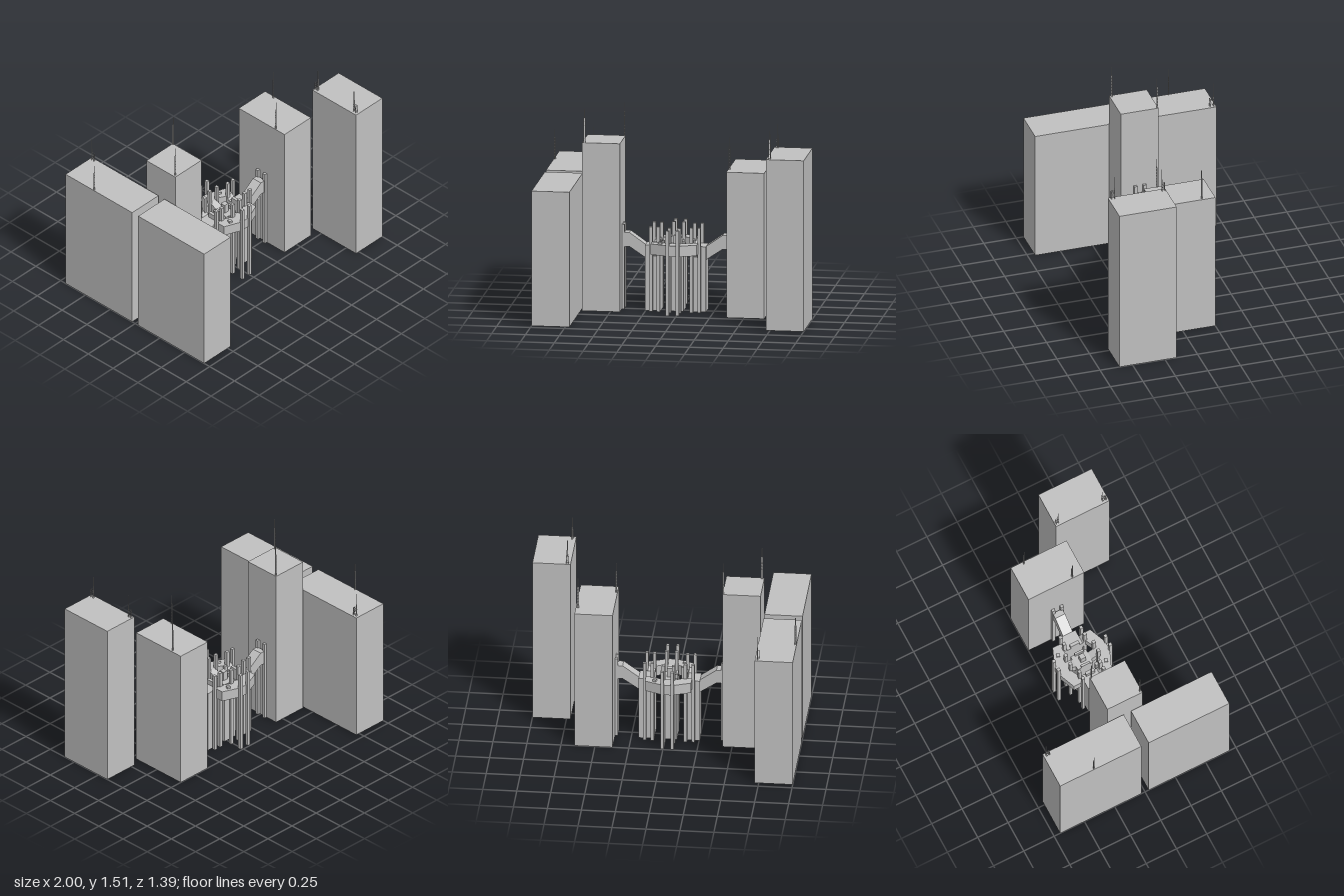
import * as THREE from 'three';

const concrete = new THREE.MeshStandardMaterial({ color: 0xc0c0c0 });
concrete.name = 'concrete grey';

// Plan centre of the walkway station
const CX = -0.03, CZ = -0.015;

export function createModel() {
  const root = new THREE.Group();
  root.name = 'towerBlock';

  const add = (geo, name, parent = root) => {
    const m = new THREE.Mesh(geo, concrete);
    m.name = name;
    parent.add(m);
    return m;
  };
  // Box given by its limits on each axis
  const box = (name, x0, x1, y0, y1, z0, z1, parent = root) => {
    const m = add(new THREE.BoxGeometry(x1 - x0, y1 - y0, z1 - z0), name, parent);
    m.position.set((x0 + x1) / 2, (y0 + y1) / 2, (z0 + z1) / 2);
    return m;
  };
  const prism = (pts, depth) => new THREE.ExtrudeGeometry(
    new THREE.Shape(pts.map(p => new THREE.Vector2(p[0], p[1]))),
    { depth, bevelEnabled: false });
  // Thin strut between two points
  const strut = (a, b, t, parent) => {
    const A = new THREE.Vector3(...a), B = new THREE.Vector3(...b);
    const m = add(new THREE.BoxGeometry(t, t, A.distanceTo(B)), 'strut', parent);
    m.position.copy(A).add(B).multiplyScalar(0.5);
    m.lookAt(B);
  };

  // Tower blocks: x0, x1, height, z0, z1
  [
    [-1, -0.72, 1.01, -0.70, -0.03],
    [-1, -0.72, 1.01, 0.03, 0.695],
    [-0.71, -0.43, 1.26, -0.16, 0.13],
    [0.37, 0.65, 1.09, -0.25, 0.21],
    [0.72, 1, 1.28, 0.16, 0.60],
  ].forEach(([x0, x1, h, z0, z1]) => box('tower', x0, x1, 0, h, z0, z1));

  // Slim lattice masts: x, z, roof height, tip height
  const mast = (x, z, y, tip) => {
    const g = new THREE.Group();
    g.name = 'slimMast';
    root.add(g);
    const h = tip - y, w = 0.005, mid = y + h * 0.72;
    strut([x, y, z], [x, tip, z], 0.004, g);
    strut([x + w, y, z - w], [x + w, mid, z - w], 0.003, g);
    strut([x - w, y, z - w], [x - w, mid, z - w], 0.003, g);
    for (let i = 1; i <= 7; i++) {
      const r = y + (mid - y) * i / 7;
      strut([x - w, r, z - w], [x + w, r, z - w], 0.002, g);
      strut([x, r, z], [x + w, r, z - w], 0.002, g);
    }
  };
  mast(-0.435, -0.148, 1.26, 1.51);
  mast(-0.693, 0.118, 1.26, 1.51);
  mast(0.634, -0.148, 1.09, 1.33);
  mast(0.379, 0.118, 1.09, 1.33);
  mast(-0.992, -0.415, 1.01, 1.23);

  // Masts with a braced frame at the foot
  const framedMast = (x, z, dz, y, tip) => {
    const g = new THREE.Group();
    g.name = 'framedMast';
    root.add(g);
    const z2 = z + dz, top = y + 0.065;
    strut([x, y, z], [x, tip, z], 0.004, g);
    strut([x + 0.006, y, z], [x + 0.006, y + 0.1, z], 0.003, g);
    for (const px of [x - 0.008, x + 0.006]) {
      strut([px, y, z2], [px, top, z2], 0.003, g);
      strut([px, top, z], [px, top, z2], 0.002, g);
      strut([px, y + 0.05, z], [px, y + 0.05, z2], 0.002, g);
      strut([px, y, z], [px, y + 0.05, z2], 0.002, g);
    }
    strut([x - 0.008, top, z2], [x + 0.006, top, z2], 0.002, g);
  };
  framedMast(0.745, 0.555, 0.026, 1.28, 1.46);
  framedMast(0.745, 0.192, -0.022, 1.28, 1.46);
  framedMast(-0.742, -0.682, 0.027, 1.01, 1.20);

  // Three lift shafts
  for (const x of [-0.1975, CX, 0.1375])
    box('shaft', x - 0.0575, x + 0.0575, 0, 0.49, -0.08, 0.047);

  // Front and back walkway arcs
  const arc = [[0.17, 0.155], [0.035, 0.21], [-0.035, 0.21], [-0.17, 0.155], [-0.17, 0.085],
    [-0.11, 0.085], [-0.05, 0.115], [0.05, 0.115], [0.11, 0.085], [0.17, 0.085]];
  for (const s of [1, -1]) {
    const geo = prism(arc.map(([x, z]) => [CX + x, -(CZ + s * z)]), 0.08);
    geo.rotateX(-Math.PI / 2);
    add(geo, 'walkwayArc').position.y = 0.44;

    // Sloping links from each arc to the shafts
    [[-0.14, 0.06, 0.085], [0.14, 0.06, 0.085], [0, 0.06, 0.115]].forEach(([x, w, z]) => {
      const link = prism([[CZ + s * z, 0.44], [CZ + s * z, 0.52],
        [CZ + s * 0.062, 0.49], [CZ + s * 0.062, 0.41]], w);
      link.rotateY(-Math.PI / 2);
      add(link, 'walkwayLink').position.x = CX + x + w / 2;
    });

    // Side bridge rising to the neighbouring tower
    const bridge = [[0.225, 0.39], [0.225, 0.49], [0.345, 0.575], [0.39, 0.575],
      [0.39, 0.47], [0.345, 0.47]].map(([x, y]) => [CX + s * x, y]);
    add(prism(bridge, 0.08), 'sideBridge').position.z = -0.056;

    // Small unit turned to follow the arc
    const unit = box('roofUnit', -0.013, 0.013, 0.52, 0.536, -0.013, 0.013);
    unit.position.x = CX - s * 0.098;
    unit.position.z = CZ + s * 0.147;
    unit.rotation.y = -0.35;

    // Low cabinets on the shafts
    box('cabinet', CX + s * 0.122 - 0.012, CX + s * 0.122 + 0.012, 0.49, 0.53, -0.05, 0.022);
    box('parapet', CX + s * 0.052 - 0.008, CX + s * 0.052 + 0.008, 0.49, 0.52, -0.05, 0.022);
  }
  box('centreHousing', -0.05, -0.01, 0.49, 0.56, -0.035, 0.005);
  box('sideUnit', -0.132, -0.108, 0.44, 0.53, 0.045, 0.067);

  // Tall pillars, mirrored in x and z about the station centre
  const P = 0.012;
  [[0.037, 0.213], [0.037, 0.115], [0.122, 0.085], [0.178, 0.085], [0.392, 0.035]]
    .forEach(([x, z]) => {
      for (const sx of [-1, 1]) for (const sz of [-1, 1]) {
        const px = CX + sx * x, pz = CZ + sz * z;
        box('pillar', px - P, px + P, 0, 0.635, pz - P, pz + P);
      }
    });

  return root;
}
